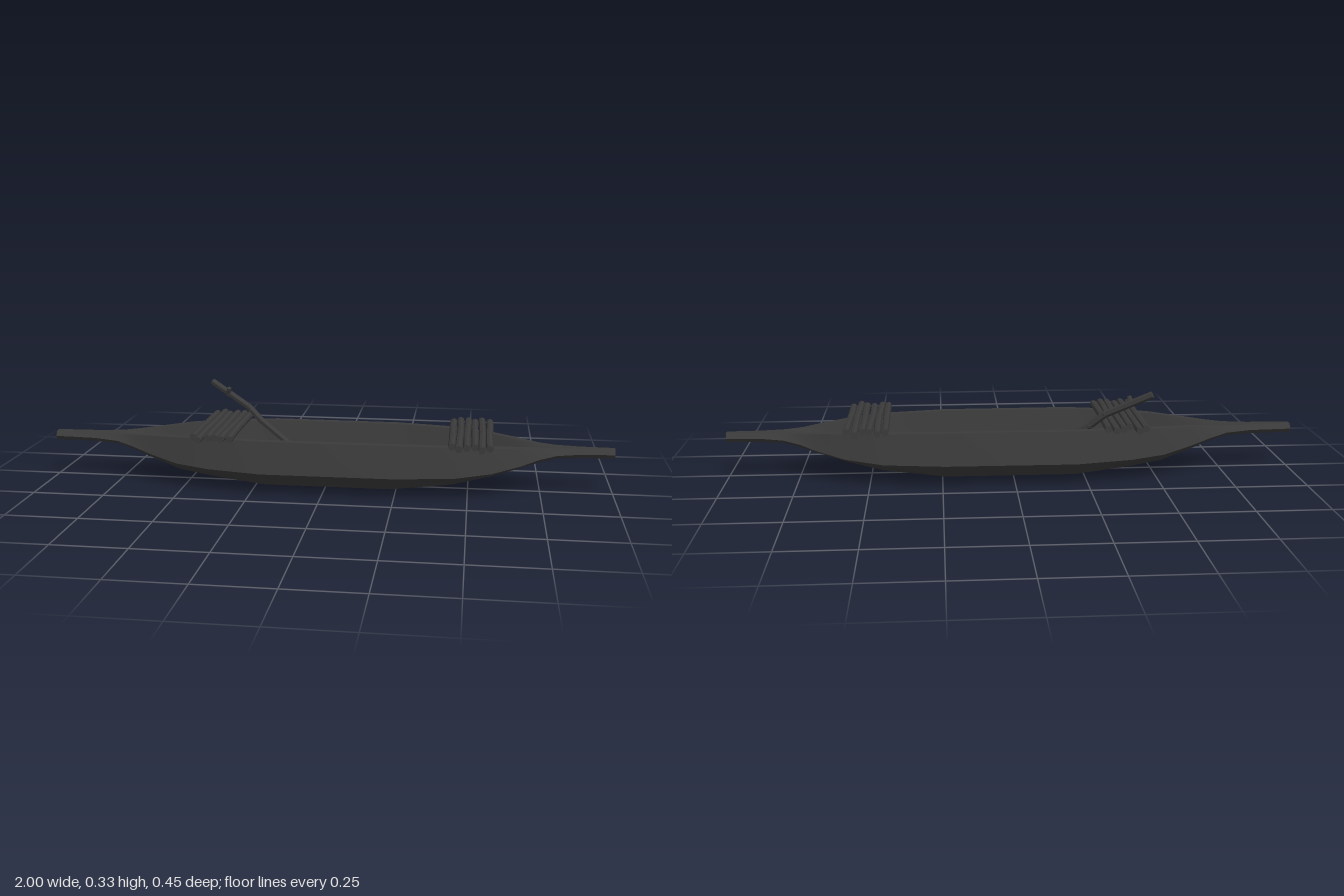
import * as THREE from 'three';
import { toCreasedNormals } from 'three/addons/utils/BufferGeometryUtils.js';

const wood = new THREE.MeshStandardMaterial({ color: 0x3a3a3a });
const flatWood = new THREE.MeshStandardMaterial({ color: 0x3a3a3a, flatShading: true });
const CENTER_Z = -0.008;

// Hull stations: x, keel height, chine height, chine half-width, rim height, floor height
const STATIONS = [
  [-1.0, 0.128, 0.146, 0.023, 0.164, 0.164],
  [-0.85, 0.127, 0.146, 0.033, 0.163, 0.163],
  [-0.76, 0.122, 0.141, 0.046, 0.164, 0.163],
  [-0.70, 0.105, 0.128, 0.064, 0.168, 0.155],
  [-0.62, 0.077, 0.110, 0.099, 0.174, 0.120],
  [-0.52, 0.044, 0.092, 0.139, 0.182, 0.088],
  [-0.40, 0.026, 0.084, 0.168, 0.188, 0.065],
  [-0.21, 0.002, 0.081, 0.198, 0.191, 0.048],
  [0.24, 0.002, 0.081, 0.195, 0.191, 0.048],
  [0.45, 0.031, 0.084, 0.174, 0.187, 0.065],
  [0.58, 0.064, 0.096, 0.139, 0.180, 0.095],
  [0.68, 0.092, 0.114, 0.092, 0.172, 0.132],
  [0.74, 0.109, 0.130, 0.062, 0.166, 0.157],
  [0.80, 0.124, 0.142, 0.045, 0.163, 0.163],
  [0.88, 0.127, 0.146, 0.031, 0.163, 0.163],
  [1.0, 0.128, 0.146, 0.022, 0.164, 0.164],
];

// Lofts closed rings of [x, y, z] points and caps both ends
function loft(rings) {
  const n = rings[0].length;
  const last = (rings.length - 1) * n;
  const index = [];
  for (let i = 0; i < rings.length - 1; i++) {
    for (let j = 0; j < n; j++) {
      const a = i * n + j, b = i * n + (j + 1) % n;
      index.push(a, a + n, b, b, a + n, b + n);
    }
  }
  for (let k = 1; k < n - 1; k++) {
    index.push(0, k, k + 1, last, last + k + 1, last + k);
  }
  const geometry = new THREE.BufferGeometry();
  geometry.setAttribute('position', new THREE.Float32BufferAttribute(rings.flat(2), 3));
  geometry.setIndex(index);
  return toCreasedNormals(geometry, 0.45);
}

// One cross-section: up the outer skin, over the rim, across the floor and back
function hullRing([x, keelY, chineY, chineZ, rimY, floorY]) {
  const bilgeY = THREE.MathUtils.lerp(keelY, chineY, 0.22);
  const rimZ = chineZ * 0.94 - 0.012;
  const innerZ = Math.max(rimZ - 0.028, rimZ * 0.65);
  const side = [
    [bilgeY, chineZ * 0.56], [chineY, chineZ],
    [rimY, rimZ], [rimY, innerZ], [floorY, innerZ * 0.75],
  ];
  const profile = [
    [keelY, 0], ...side, [floorY, 0],
    ...side.map(([y, z]) => [y, -z]).reverse(),
  ];
  return profile.map(([y, z]) => [x, y, z + CENTER_Z]);
}

// Straight stick between two points
function stick(name, from, to, r0, r1) {
  const a = new THREE.Vector3(...from), b = new THREE.Vector3(...to);
  const dir = b.clone().sub(a);
  const mesh = new THREE.Mesh(new THREE.CylinderGeometry(r1, r0, dir.length(), 6), flatWood);
  mesh.position.copy(a).add(b).multiplyScalar(0.5);
  mesh.quaternion.setFromUnitVectors(new THREE.Vector3(0, 1, 0), dir.normalize());
  mesh.name = name;
  return mesh;
}

// Slightly uneven log lying across the hull
function log(x, z0, z1, i) {
  const geometry = new THREE.CylinderGeometry(0.0125, 0.0125, z1 - z0, 8, 4);
  geometry.rotateX(Math.PI / 2);
  const p = geometry.attributes.position;
  for (let k = 0; k < p.count; k++) {
    const z = p.getZ(k);
    p.setX(k, p.getX(k) + 0.0015 * Math.sin(z * 14 + i * 2));
    p.setY(k, p.getY(k) + 0.002 * Math.sin(z * 11 + i * 1.7));
  }
  const mesh = new THREE.Mesh(geometry, flatWood);
  mesh.position.set(x, 0.201, (z0 + z1) / 2);
  mesh.name = 'log';
  return mesh;
}

function logDeck(name, startX, ends) {
  const deck = new THREE.Group();
  deck.name = name;
  ends.forEach(([z0, z1], i) => deck.add(log(startX + i * 0.0255, z0, z1, i)));
  return deck;
}

export function createModel() {
  const model = new THREE.Group();
  model.name = 'dugoutCanoe';

  const hull = new THREE.Mesh(loft(STATIONS.map(hullRing)), wood);
  hull.name = 'hull';
  model.add(hull);

  // Log platforms near both ends
  model.add(logDeck('rightLogDeck', -0.443,
    [[-0.2, 0.18], [-0.225, 0.207], [-0.18, 0.177], [-0.205, 0.185], [-0.215, 0.197], [-0.203, 0.183]]));
  model.add(logDeck('leftLogDeck', 0.443,
    [[-0.185, 0.192], [-0.206, 0.21], [-0.192, 0.193], [-0.18, 0.192], [-0.213, 0.222], [-0.182, 0.19]]));

  // Crooked branch used as a pole, leaning over the rim
  const pole = new THREE.Group();
  pole.name = 'pole';
  const points = [[-0.05, 0.06, -0.03], [-0.26, 0.195, -0.122], [-0.31, 0.24, -0.143], [-0.46, 0.32, -0.203]];
  for (let i = 0; i < points.length - 1; i++) {
    pole.add(stick('poleSection', points[i], points[i + 1], 0.0125, 0.0125));
    if (i > 0) {
      const joint = new THREE.Mesh(new THREE.IcosahedronGeometry(0.0125, 1), flatWood);
      joint.position.set(...points[i]);
      joint.name = 'poleJoint';
      pole.add(joint);
    }
  }
  pole.add(stick('twig', [-0.395, 0.277, -0.174], [-0.388, 0.306, -0.159], 0.011, 0.008));
  model.add(pole);

  return model;
}
